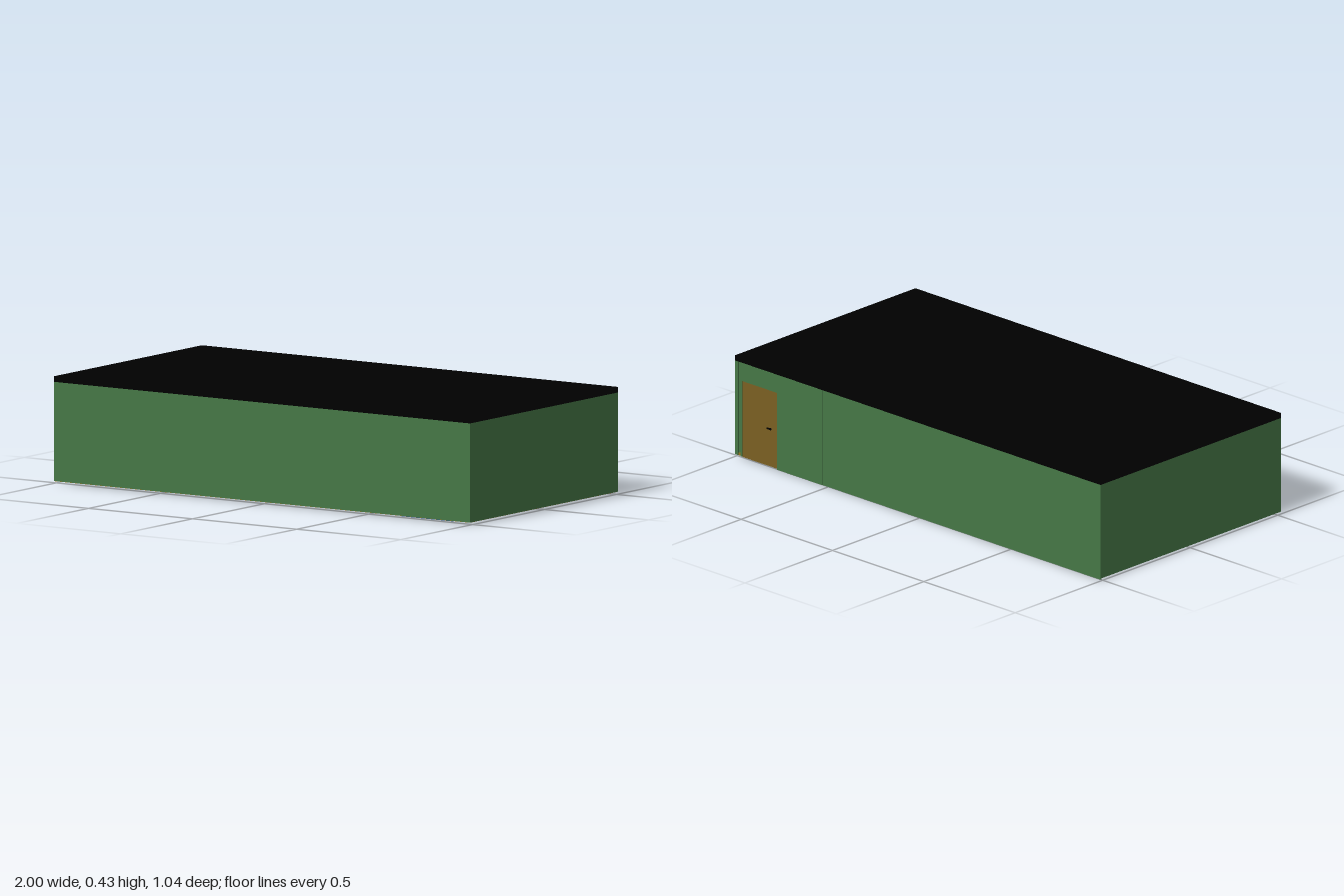
import * as THREE from 'three';

export function createModel() {
  const model = new THREE.Group();
  const paint = (name, color) => {
    const m = new THREE.MeshStandardMaterial({ color });
    m.name = name;
    return m;
  };
  const green = paint('wall green', 0x467746);
  const black = paint('black', 0x000000);
  const wood = paint('door wood', 0x7a6022);
  const brown = paint('floor brown', 0x967520);
  const blue = paint('mat blue', 0x335a82);

  // Box given by its minimum and maximum on each axis
  function box(name, material, [x0, x1], [y0, y1], [z0, z1], parent = model) {
    const mesh = new THREE.Mesh(new THREE.BoxGeometry(x1 - x0, y1 - y0, z1 - z0), material);
    mesh.position.set((x0 + x1) / 2, (y0 + y1) / 2, (z0 + z1) / 2);
    mesh.name = name;
    parent.add(mesh);
    return mesh;
  }

  const back = -0.512, front = 0.518, top = 0.406;

  // Roof slab and floor
  box('roof', black, [-1, 1], [top, 0.428], [back, front]);
  box('floor', brown, [-0.998, 0.998], [0.009, 0.02], [back + 0.003, front - 0.002]);

  // Plain walls on three sides
  box('frontWall', green, [-1, 1], [0.01, top], [front - 0.015, front]);
  for (const [name, s] of [['leftWall', 1], ['rightWall', -1]]) {
    box(name, green, [s * 0.9925 - 0.0075, s * 0.9925 + 0.0075], [0.01, top], [back, front]);
  }

  // Back wall, standing slightly proud around the doorway
  const doorX = [0.77, 0.96], doorTop = 0.33, proud = [back - 0.002, back + 0.006];
  box('backWall', green, [-0.999, 0.52], [0.005, top], [back, back + 0.006]);
  box('backWallByDoor', green, [0.52, doorX[0]], [0.005, top], proud);
  box('doorLintel', green, doorX, [doorTop, top], proud);
  box('doorPost', green, [doorX[1], 0.97], [0.01, top], proud);
  box('cornerPost', green, [0.97, 0.999], [0.01, top], [back + 0.006, back + 0.012]);

  // Door with its lever handle
  const door = new THREE.Group();
  door.name = 'door';
  model.add(door);
  box('doorPanel', wood, doorX, [0.009, doorTop], [back - 0.001, back + 0.008], door);
  const knob = new THREE.Mesh(new THREE.SphereGeometry(0.005, 12, 8), black);
  knob.name = 'doorKnob';
  knob.position.set(0.805, 0.167, back - 0.001);
  door.add(knob);
  box('doorLever', black, [0.802, 0.825], [0.164, 0.17], [back - 0.004, back], door);

  // Mat let into the floor by the front wall
  box('mat', blue, [0.67, 0.915], [0.0075, 0.021], [0.42, front - 0.002]);

  // Stools whose thin legs reach through the floor
  function stool(x, z, foot) {
    const group = new THREE.Group();
    group.name = 'stool';
    model.add(group);
    for (const dx of [-0.051, 0.051]) {
      for (const dz of [-0.054, 0.054]) {
        const leg = new THREE.Mesh(new THREE.CylinderGeometry(0.004, 0.004, 0.1 - foot, 8), black);
        leg.name = 'stoolLeg';
        leg.position.set(x + dx, (0.1 + foot) / 2, z + dz);
        group.add(leg);
      }
    }
    box('stoolSeat', wood, [x - 0.06, x + 0.06], [0.1, 0.112], [z - 0.062, z + 0.062], group);
  }
  for (const z of [-0.38, 0.38]) stool(-0.36, z, 0);
  for (const z of [-0.38, 0.252]) stool(0.568, z, 0.005);
  for (const z of [-0.105, 0.1]) stool(-0.562, z, 0.006);

  // Table feet showing under the floor
  for (const [x, z] of [[-0.3, -0.18], [-0.3, 0.15], [-0.46, -0.18], [-0.46, 0.15]]) {
    box('tableLeg', black, [x - 0.003, x + 0.003], [0.007, 0.15], [z - 0.003, z + 0.003]);
  }
  box('tableTop', wood, [-0.47, -0.29], [0.15, 0.165], [-0.19, 0.16]);

  return model;
}
